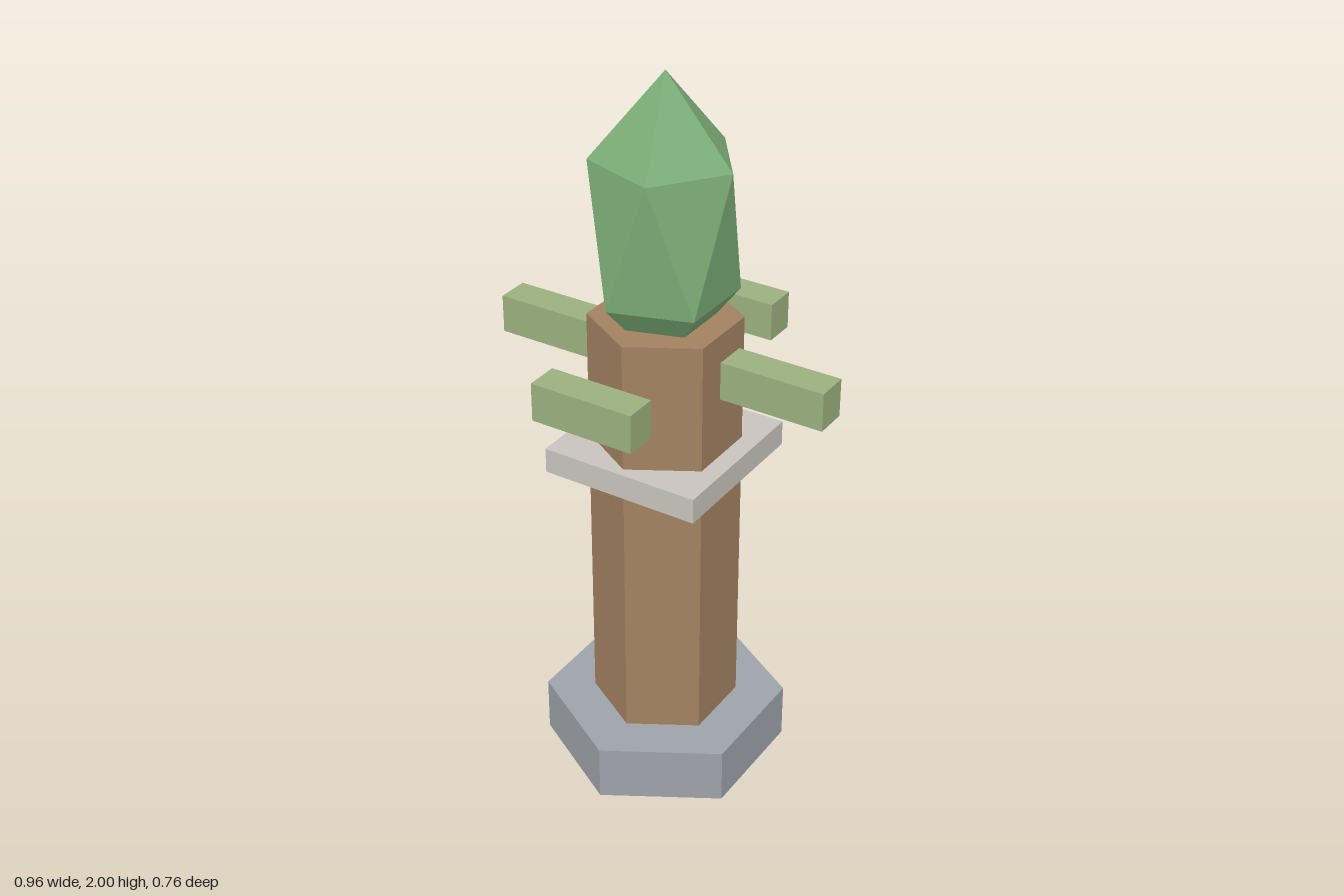
import * as THREE from 'three';
import { ConvexGeometry } from 'three/addons/geometries/ConvexGeometry.js';

function material(name, color) {
  const m = new THREE.MeshStandardMaterial({ color, flatShading: true });
  m.name = name;
  return m;
}

export function createModel() {
  const group = new THREE.Group();
  const stone = material('grey stone', 0x9ea2a9);
  const wood = material('brown wood', 0xa28260);
  const paleStone = material('pale stone', 0xc8c4bc);
  const moss = material('moss green', 0x9ab07e);
  const crystalGreen = material('crystal green', 0x7cae78);

  const add = (name, geometry, mat, x, y, z) => {
    const mesh = new THREE.Mesh(geometry, mat);
    mesh.name = name;
    mesh.position.set(x, y, z);
    group.add(mesh);
    return mesh;
  };

  // Hexagonal foot and shaft, corners pointing to front and back
  add('base', new THREE.CylinderGeometry(0.335, 0.335, 0.16, 6), stone, 0, 0.08, 0);
  add('column', new THREE.CylinderGeometry(0.2, 0.2, 1.25, 6), wood, 0, 0.725, 0);

  // Square collar around the shaft
  add('collar', new THREE.BoxGeometry(0.45, 0.07, 0.45), paleStone, 0, 0.96, 0);

  // Four floating bars: two reach outwards, two lie across front and back
  const bar = new THREE.BoxGeometry(0.29, 0.105, 0.09);
  for (const side of [-1, 1]) {
    add(side > 0 ? 'leftBar' : 'rightBar', bar, moss, side * 0.336, 1.238, 0);
    add(side > 0 ? 'frontBar' : 'backBar', bar, moss, 0, 1.238, side * 0.336);
  }

  // Stretched icosahedron: two tips and two opposed five-sided rings
  const points = [new THREE.Vector3(0, 0.4, 0), new THREE.Vector3(0, -0.4, 0)];
  for (let i = 0; i < 5; i++) {
    const a = (i / 5) * Math.PI * 2;
    const x = 0.19 * Math.cos(a), z = 0.19 * Math.sin(a);
    points.push(new THREE.Vector3(x, 0.179, z), new THREE.Vector3(-x, -0.179, -z));
  }
  add('crystal', new ConvexGeometry(points), crystalGreen, 0, 1.6, 0);

  return group;
}
